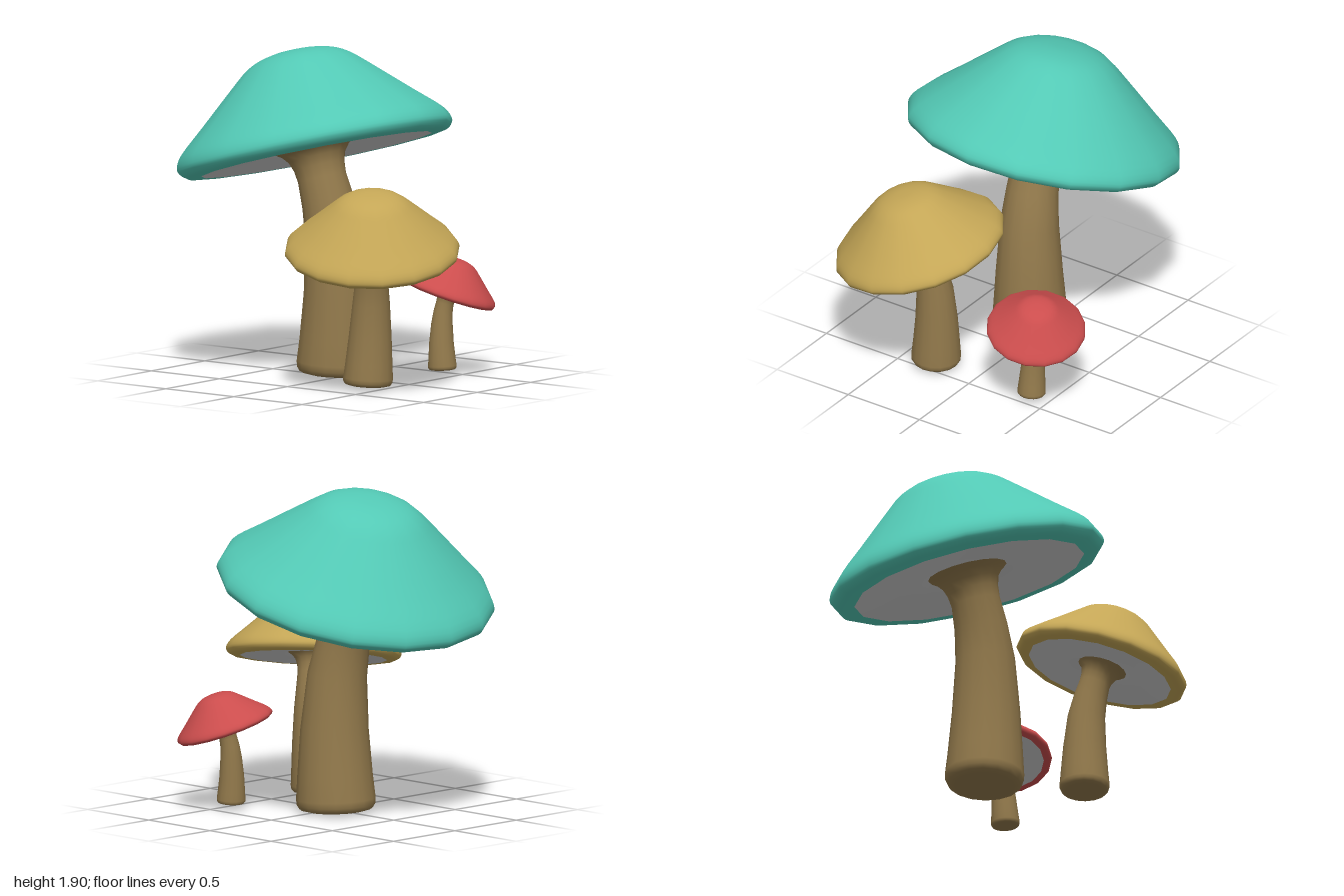
import * as THREE from 'three';
import { mergeVertices } from 'three/addons/utils/BufferGeometryUtils.js';

const SIDES = 16;
const UP = new THREE.Vector3(0, 1, 0);

const smoothProfile = (points, divisions) =>
  new THREE.SplineCurve(points.map(([x, y]) => new THREE.Vector2(x, y)))
    .getPoints(divisions)
    .map((p) => new THREE.Vector2(Math.max(p.x, 0), p.y));

// Unit-radius cap: rolled lip, sloping shoulder and rounded crown
const CAP = smoothProfile([
  [0.84, -0.085], [0.94, -0.08], [0.985, -0.05], [1, 0], [0.95, 0.09],
  [0.77, 0.25], [0.5, 0.49], [0.38, 0.59], [0.27, 0.645], [0.13, 0.675], [0, 0.68],
], 30);

// Underside, rising slightly towards the stem
const GILLS = smoothProfile([
  [0, -0.01], [0.25, -0.02], [0.36, -0.045], [0.6, -0.065], [0.84, -0.085],
], 12);

// Stem profile: radius relative to the base, position along the bend
const STEM = [
  [0, 0], [0.75, 0.008], [0.92, 0.016], [0.99, 0.035], [1, 0.06], [0.95, 0.16],
  [0.86, 0.36], [0.75, 0.6], [0.67, 0.75], [0.62, 0.86], [0.65, 0.91],
  [0.73, 0.95], [0.87, 0.98], [1.05, 1],
].map(([x, y]) => new THREE.Vector2(x, y));

// Sweep the lathed stem along a curve
function stemGeometry(path, radius) {
  const curve = new THREE.CatmullRomCurve3(path.map((p) => new THREE.Vector3(...p)));
  let geometry = new THREE.LatheGeometry(STEM, SIDES);
  const pos = geometry.attributes.position;
  const v = new THREE.Vector3();
  const q = new THREE.Quaternion();
  for (let i = 0; i < pos.count; i++) {
    const t = pos.getY(i);
    q.setFromUnitVectors(UP, curve.getTangentAt(t));
    v.set(pos.getX(i) * radius, 0, pos.getZ(i) * radius)
      .applyQuaternion(q)
      .add(curve.getPointAt(t));
    pos.setXYZ(i, v.x, v.y, v.z);
  }
  geometry.deleteAttribute('uv');
  geometry.deleteAttribute('normal');
  geometry = mergeVertices(geometry);
  geometry.computeVertexNormals();
  return geometry;
}

function addMesh(parent, name, geometry, color) {
  const mesh = new THREE.Mesh(geometry, new THREE.MeshStandardMaterial({ color }));
  mesh.name = name;
  parent.add(mesh);
  return mesh;
}

function mushroom({ name, color, radius, center, normal, stemRadius, path }) {
  const group = new THREE.Group();
  group.name = name;
  addMesh(group, 'stem', stemGeometry(path, stemRadius), 0x937a4c);

  // Tilted head: cap and gills
  const head = new THREE.Group();
  head.name = 'head';
  head.position.set(...center);
  head.quaternion.setFromUnitVectors(UP, new THREE.Vector3(...normal).normalize());
  head.scale.setScalar(radius);
  addMesh(head, 'cap', new THREE.LatheGeometry(CAP, SIDES), color);
  addMesh(head, 'gills', new THREE.LatheGeometry(GILLS, SIDES), 0xcccccc);
  group.add(head);
  return group;
}

export function createModel() {
  const model = new THREE.Group();
  model.name = 'mushroomCluster';
  model.add(
    mushroom({
      name: 'largeMushroom', color: 0x53c9b5, radius: 0.812,
      center: [-0.22, 1.345, -0.03], normal: [-0.277, 0.96, -0.043],
      stemRadius: 0.23,
      path: [[-0.07, 0.005, -0.04], [-0.055, 0.45, -0.04], [-0.075, 0.85, -0.03],
        [-0.14, 1.1, -0.02], [-0.215, 1.33, -0.025]],
    }),
    mushroom({
      name: 'mediumMushroom', color: 0xc4a656, radius: 0.507,
      center: [0.5, 0.835, 0.345], normal: [0.164, 0.963, 0.214],
      stemRadius: 0.145,
      path: [[0.42, 0.02, 0.285], [0.43, 0.3, 0.275], [0.44, 0.5, 0.278],
        [0.465, 0.68, 0.305], [0.498, 0.825, 0.342]],
    }),
    mushroom({
      name: 'smallMushroom', color: 0xcb4d4d, radius: 0.288,
      center: [0.445, 0.495, -0.435], normal: [0.237, 0.947, -0.218],
      stemRadius: 0.083,
      path: [[0.435, 0.035, -0.395], [0.425, 0.2, -0.398], [0.425, 0.37, -0.412],
        [0.443, 0.488, -0.433]],
    }),
  );
  return model;
}
